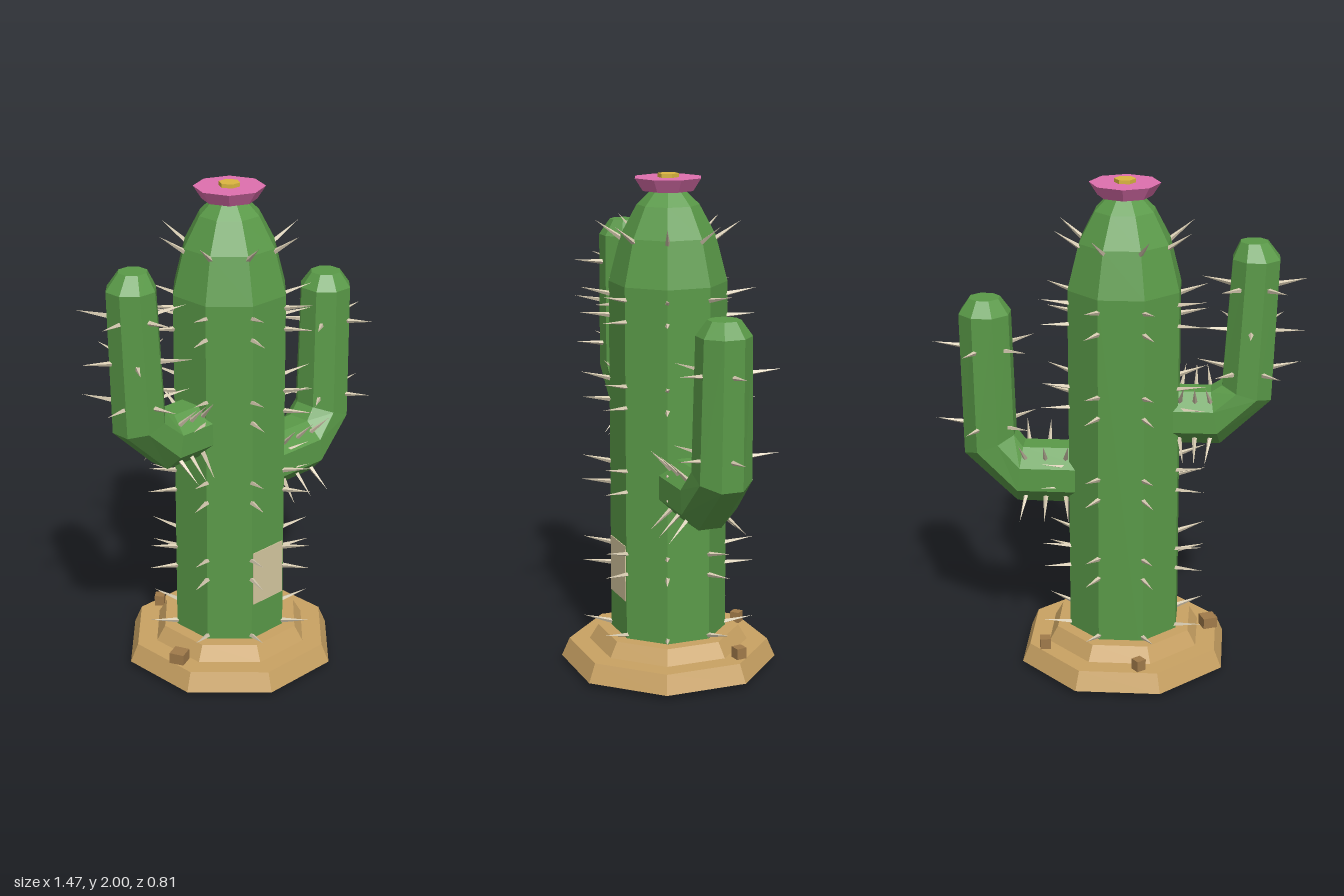
import * as THREE from 'three';

const TRUNK_X = -0.03;
const FLAT = Math.cos(Math.PI / 8); // flat half-width / corner radius of an octagon

const mat = (color, side = THREE.FrontSide) =>
  new THREE.MeshStandardMaterial({ color, flatShading: true, side });
const green = mat(0x5a9a48, THREE.DoubleSide);
const sand = mat(0xc9a263, THREE.DoubleSide);
const rock = mat(0xa07a4a);
const bone = mat(0xd8ccb2);

function add(parent, name, geometry, material, x = 0, y = 0, z = 0) {
  const mesh = new THREE.Mesh(geometry, material);
  mesh.name = name;
  mesh.position.set(x, y, z);
  parent.add(mesh);
  return mesh;
}

// Octagonal shell from [flat half-width, height] pairs, flats facing the axes
function octagon(profile) {
  const points = profile.map(([w, y]) => new THREE.Vector2(w / FLAT, y));
  return new THREE.LatheGeometry(points, 8, Math.PI / 8);
}

// Octagonal limb; each ring is [x, y, half-width, dirX, dirY], dir pointing to the inside of the bend
function limb(rings, side) {
  const pos = [], index = [];
  for (const [x, y, w, dx, dy] of rings) {
    const n = Math.hypot(dx, dy), r = w / FLAT;
    for (let i = 0; i < 8; i++) {
      const a = (i + 0.5) * Math.PI / 4, c = Math.cos(a) * r / n;
      pos.push(x + dx * c, y + dy * c, side * Math.sin(a) * r);
    }
  }
  for (let j = 0; j < rings.length - 1; j++) {
    for (let i = 0; i < 8; i++) {
      const a = j * 8 + i, b = j * 8 + (i + 1) % 8;
      index.push(a, b, b + 8, a, b + 8, a + 8);
    }
  }
  const last = (rings.length - 1) * 8;
  for (let i = 1; i < 7; i++) index.push(last, last + i, last + i + 1);
  const geometry = new THREE.BufferGeometry();
  geometry.setAttribute('position', new THREE.Float32BufferAttribute(pos, 3));
  geometry.setIndex(index);
  geometry.computeVertexNormals();
  return geometry;
}

// Thin spike rooted just under the skin
const spikeShape = new THREE.ConeGeometry(0.011, 0.13, 4, 1).translate(0, 0.055, 0);
const UP = new THREE.Vector3(0, 1, 0);
function spine(parent, x, y, z, dir) {
  const mesh = add(parent, 'spine', spikeShape, bone, x, y, z);
  mesh.quaternion.setFromUnitVectors(UP, dir.normalize());
}

export function createModel() {
  const model = new THREE.Group();
  model.name = 'cactus';

  // Trunk, open below with a dark plug inside
  add(model, 'trunk', octagon([
    [0.215, 0], [0.215, 1.58], [0.172, 1.76], [0.113, 1.88], [0.06, 1.937], [0, 1.94],
  ]), green, TRUNK_X);
  const plug = new THREE.CircleGeometry(0.23, 8, Math.PI / 8).rotateX(Math.PI / 2);
  add(model, 'trunkPlug', plug, mat(0x3a2a1a, THREE.DoubleSide), TRUNK_X, 0.06);

  // Stepped hollow base
  add(model, 'base', octagon([
    [0.405, 0.02], [0.375, 0.095], [0.298, 0.095], [0.265, 0.155], [0.21, 0.155],
  ]), sand, TRUNK_X);

  // Pebbles: x, z, size, turn
  for (const [x, z, s, turn] of [
    [-0.375, 0.06, 0.06, 0.4], [0.28, -0.18, 0.043, 0.15], [-0.11, -0.342, 0.04, 0.7],
  ]) {
    add(model, 'pebble', new THREE.BoxGeometry(s, 0.045, s), rock, x, 0.117, z).rotation.y = turn;
  }

  // Pale panel on the front
  add(model, 'frontPanel', new THREE.BoxGeometry(0.165, 0.23, 0.006), mat(0xd6c8a0), TRUNK_X, 0.425, 0.215);

  // Flower
  add(model, 'flower', new THREE.CylinderGeometry(0.138, 0.105, 0.05, 8), mat(0xdf70ae), TRUNK_X, 1.96);
  add(model, 'flowerCentre', new THREE.CylinderGeometry(0.042, 0.042, 0.03, 6).rotateY(Math.PI / 2),
    mat(0xdcb640), TRUNK_X, 1.985);

  // Arms
  add(model, 'leftArm', limb([
    [0.08, 0.8, 0.115, 0, 1], [0.385, 0.8, 0.115, -0.11, 0.99], [0.508, 0.924, 0.107, -0.93, 0.37],
    [0.519, 1.46, 0.098, -1, 0], [0.519, 1.52, 0.058, -1, 0],
  ], 1), green);
  add(model, 'rightArm', limb([
    [-0.13, 1.058, 0.108, 0, 1], [-0.39, 1.058, 0.108, 0.18, 0.98], [-0.51, 1.165, 0.1, 0.95, 0.28],
    [-0.535, 1.7, 0.09, 1, 0], [-0.525, 1.765, 0.052, 1, 0],
  ], -1), green);

  // Trunk spines along the eight corners
  const trunkSpines = new THREE.Group();
  trunkSpines.name = 'trunkSpines';
  model.add(trunkSpines);
  for (const [y, r, lift] of [
    [0.17, 0.23, 0.22], [0.425, 0.23, 0.08], [0.51, 0.23, 0.22], [0.765, 0.23, 0.08], [0.85, 0.23, 0.22],
    [1.105, 0.23, 0.08], [1.19, 0.23, 0.22], [1.445, 0.23, 0.08], [1.53, 0.23, 0.22], [1.75, 0.186, 0.7],
  ]) {
    for (let i = 0; i < 8; i++) {
      const a = (i + 0.5) * Math.PI / 4, c = Math.cos(a), s = Math.sin(a);
      spine(trunkSpines, TRUNK_X + c * r, y, s * r, new THREE.Vector3(c, lift, s));
    }
  }

  // Arm spines: four around each horizontal station, five around each upright one
  const armSpines = new THREE.Group();
  armSpines.name = 'armSpines';
  model.add(armSpines);
  for (const arm of [
    { side: 1, y: 0.8, r: 0.11, across: [0.2, 0.28, 0.36], upright: [[0.51, 1.0], [0.516, 1.32]] },
    { side: -1, y: 1.058, r: 0.104, across: [-0.25, -0.31, -0.37], upright: [[-0.514, 1.25], [-0.522, 1.42], [-0.53, 1.59]] },
  ]) {
    arm.across.forEach((x, k) => {
      for (let i = 0; i < 4; i++) {
        const a = (i + 0.5) * Math.PI / 2, c = Math.cos(a), s = Math.sin(a);
        spine(armSpines, x, arm.y + c * arm.r, s * arm.r, new THREE.Vector3((k - 1) * 0.15, c, s));
      }
    });
    arm.upright.forEach(([x, y], k) => {
      for (let i = 0; i < 5; i++) {
        const a = i * Math.PI * 0.4 + (arm.side < 0 ? k * 0.63 + 0.3 : 0);
        const c = arm.side * Math.cos(a), s = Math.sin(a);
        spine(armSpines, x + c * 0.097, y, s * 0.097, new THREE.Vector3(c, 0.12, s));
      }
    });
  }
  return model;
}
